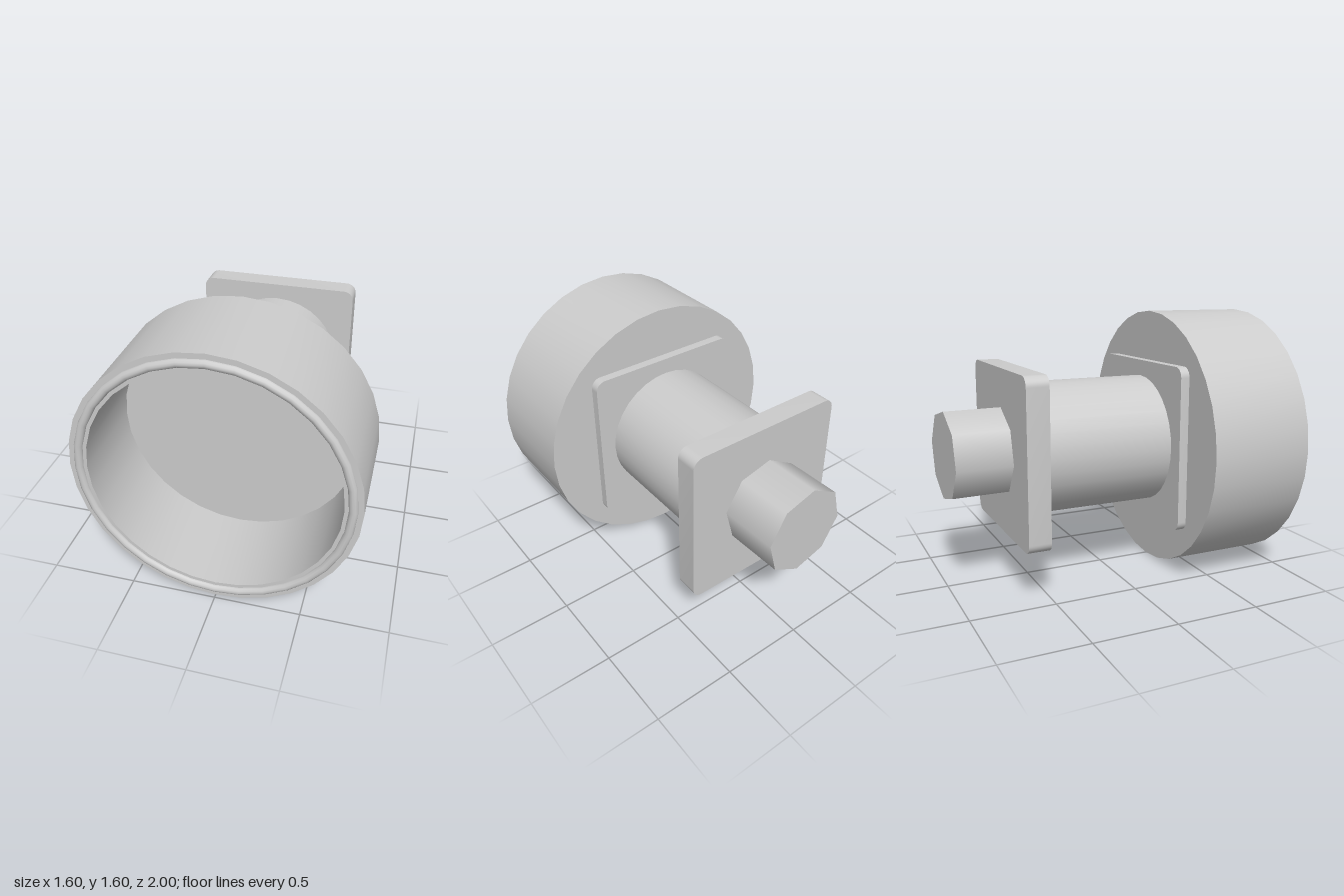
import * as THREE from 'three';
import { toCreasedNormals } from 'three/addons/utils/BufferGeometryUtils.js';

const CY = 0.8; // height of the common axis, which runs along z
const material = new THREE.MeshStandardMaterial({ color: 0xcccccc });

function add(group, name, geometry, x = 0, z = 0) {
  const mesh = new THREE.Mesh(geometry, material);
  mesh.name = name;
  mesh.position.set(x, CY, z);
  group.add(mesh);
  return mesh;
}

// Square plate with rounded corners, extruded along z
function plate(half, radius, depth) {
  const c = half - radius;
  const shape = new THREE.Shape();
  [[c, c], [-c, c], [-c, -c], [c, -c]].forEach(([x, y], i) => {
    shape.absarc(x, y, radius, i * Math.PI / 2, (i + 1) * Math.PI / 2, false);
  });
  shape.closePath();
  const geometry = new THREE.ExtrudeGeometry(shape, { depth, bevelEnabled: false, curveSegments: 5 });
  return toCreasedNormals(geometry, 0.6);
}

// Cylinder lying along z
function rod(radius, length, sides) {
  return new THREE.CylinderGeometry(radius, radius, length, sides).rotateX(Math.PI / 2);
}

export function createModel() {
  const group = new THREE.Group();

  // Hollow cup, open to the front
  const profile = [[0, 0.34], [0.8, 0.34], [0.8, 0.978], [0.7, 0.978], [0.7, 0.44], [0, 0.44]]
    .map(([r, z]) => new THREE.Vector2(r, z));
  const cup = new THREE.LatheGeometry(profile, 32).rotateX(Math.PI / 2);
  add(group, 'cup', toCreasedNormals(cup, 0.6));

  // Rounded bead on the cup's rim
  add(group, 'rimBead', new THREE.TorusGeometry(0.745, 0.025, 12, 32), 0, 0.975);

  // Square flanges at both ends of the shaft
  add(group, 'frontFlange', plate(0.495, 0.06, 0.06), 0, 0.285);
  add(group, 'rearFlange', plate(0.495, 0.06, 0.133), 0, -0.652);

  add(group, 'shaft', rod(0.398, 0.82, 32), 0, -0.11);

  // Eight-sided stub behind the rear flange, slightly askew
  const stub = add(group, 'rearStub', rod(0.267, 0.36, 8).rotateZ(0.14), -0.002, -0.812);
  stub.rotation.y = 0.03;

  return group;
}
